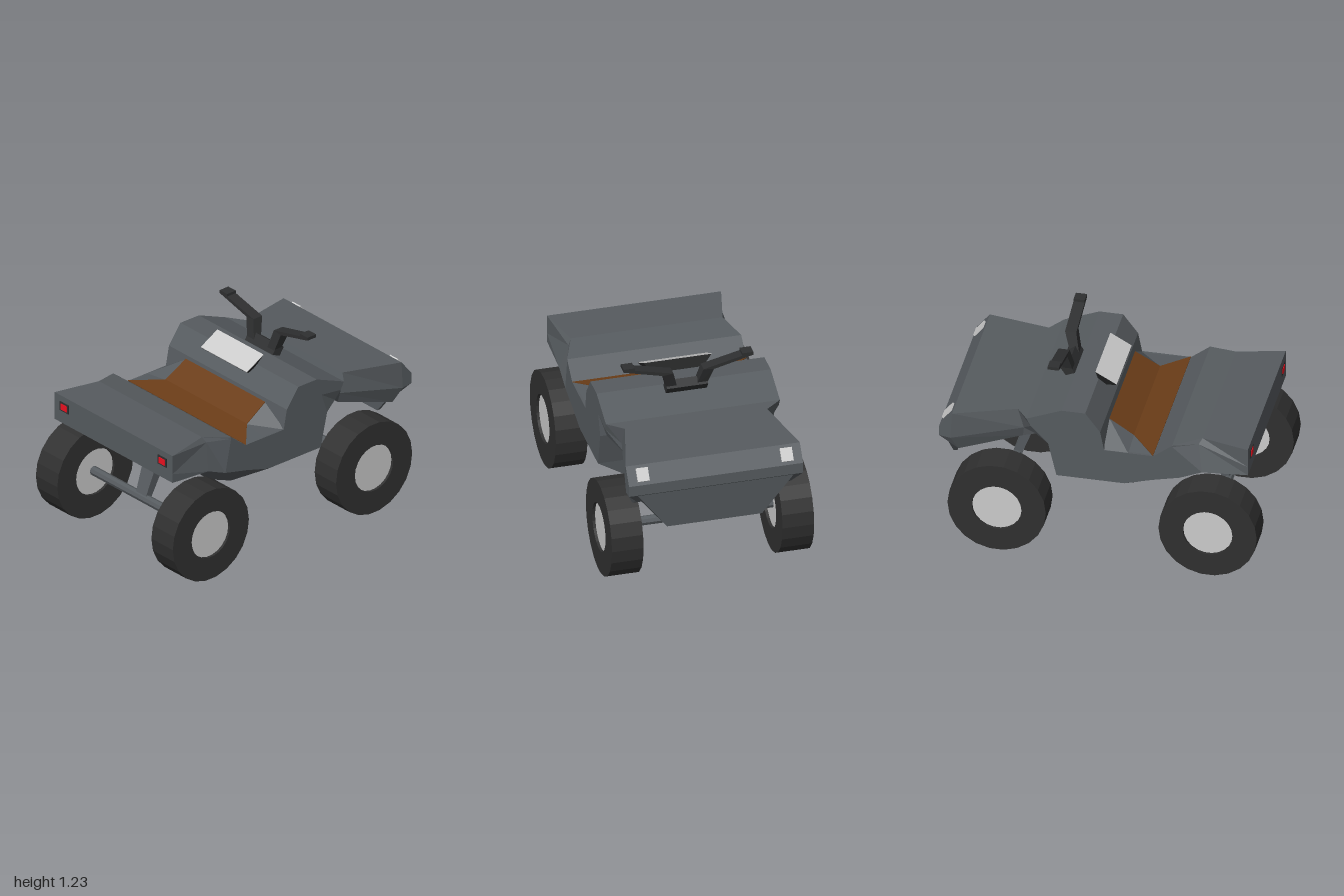
import * as THREE from 'three';

const mat = (color) => new THREE.MeshStandardMaterial({ color, flatShading: true });
const grey = mat(0x565b5f), dark = mat(0x2e2f30), rubber = mat(0x303030);
const brown = mat(0x6b3d18), pale = mat(0xcccccc), red = mat(0xee1020);

function add(parent, name, geometry, material, x = 0, y = 0, z = 0) {
  const mesh = new THREE.Mesh(geometry, material);
  mesh.name = name;
  mesh.position.set(x, y, z);
  parent.add(mesh);
  return mesh;
}

// Skins mirrored cross-sections, ordered from +z to -z.
// Each section lists [x, y, z] points of the +x half, from top to bottom.
function loft(sections) {
  const n = sections[0].length, pos = [];
  const quad = (a, b, c, d) => pos.push(...a, ...b, ...c, ...a, ...c, ...d);
  const flip = ([x, y, z]) => [-x, y, z];
  const rings = sections.map((s) => [...s, ...s.map(flip).reverse()]);
  for (let i = 0; i + 1 < rings.length; i++) {
    for (let j = 0; j < 2 * n; j++) {
      const k = (j + 1) % (2 * n);
      quad(rings[i][j], rings[i][k], rings[i + 1][k], rings[i + 1][j]);
    }
  }
  const first = sections[0], last = sections[sections.length - 1];
  for (let j = 0; j + 1 < n; j++) {
    quad(first[j], flip(first[j]), flip(first[j + 1]), first[j + 1]);
    quad(last[j], last[j + 1], flip(last[j + 1]), flip(last[j]));
  }
  const g = new THREE.BufferGeometry();
  g.setAttribute('position', new THREE.Float32BufferAttribute(pos, 3));
  g.computeVertexNormals();
  return g;
}

function addBody(group) {
  // Tub: rear deck, seat well, raised dash and keel
  add(group, 'body', loft([
    [[0.55, 0.895, 0.927], [0.55, 0.77, 0.927], [0.55, 0.71, 0.927], [0.5, 0.71, 0.927]],
    [[0.48, 0.895, 0.63], [0.5, 0.86, 0.61], [0.55, 0.69, 0.64], [0.5, 0.67, 0.63]],
    [[0.55, 0.86, 0.455], [0.55, 0.85, 0.455], [0.55, 0.63, 0.5], [0.36, 0.546, 0.514]],
    [[0.55, 0.766, 0.337], [0.55, 0.765, 0.337], [0.55, 0.59, 0.33], [0.2, 0.386, 0.33]],
    [[0.55, 0.766, 0.2], [0.55, 0.765, 0.25], [0.55, 0.54, 0.155], [0.2, 0.316, 0.155]],
    [[0.55, 0.766, 0.03], [0.55, 0.765, 0.03], [0.55, 0.54, 0.05], [0.2, 0.316, 0.05]],
    [[0.55, 0.895, 0.005], [0.55, 0.766, 0.01], [0.55, 0.54, 0], [0.2, 0.316, 0]],
    [[0.55, 1.02, -0.088], [0.55, 0.766, -0.1], [0.55, 0.54, -0.1], [0.2, 0.316, -0.1]],
    [[0.55, 1.02, -0.236], [0.55, 0.766, -0.32], [0.55, 0.54, -0.268], [0.2, 0.316, -0.246]],
  ]), grey);

  // Hood with waisted sides
  add(group, 'hood', loft([
    [[0.55, 1.02, -0.236], [0.55, 0.9, -0.275], [0.55, 0.766, -0.32]],
    [[0.55, 0.93, -0.455], [0.55, 0.88, -0.43], [0.53, 0.815, -0.4]],
    [[0.45, 0.925, -0.53], [0.46, 0.8, -0.49], [0.44, 0.728, -0.5]],
    [[0.55, 0.9, -0.92], [0.55, 0.72, -0.93], [0.5, 0.616, -0.89]],
    [[0.55, 0.8, -1], [0.55, 0.73, -1], [0.48, 0.63, -0.9]],
  ]), grey);
  add(group, 'nosePlate', loft([
    [[0.54, 0.75, -0.93], [0.3, 0.46, -0.94]],
    [[0.55, 0.8, -1], [0.3, 0.46, -0.965]],
  ]), grey);

  // Seat and the sloping panels beside it
  add(group, 'seatSurround', loft([
    [[0.55, 0.766, 0.335], [0.55, 0.764, 0.335]],
    [[0.38, 0.787, 0.18], [0.55, 0.764, 0.18]],
    [[0.37, 0.88, 0.025], [0.55, 0.764, 0.025]],
  ]), grey);
  add(group, 'seat', loft([
    [[0.55, 0.77, 0.335], [0.55, 0.765, 0.335]],
    [[0.38, 0.791, 0.18], [0.38, 0.785, 0.18]],
    [[0.37, 0.884, 0.025], [0.37, 0.87, 0.025]],
  ]), brown);
}

function addControls(group) {
  // Instrument wedge with a pale top
  add(group, 'instrumentHousing', loft([
    [[0.215, 1.028, 0.037], [0.215, 1.026, 0.037]],
    [[0.215, 1.06, -0.02], [0.13, 0.96, -0.048]],
    [[0.215, 1.103, -0.096], [0.13, 0.97, -0.09]],
  ]), dark);
  add(group, 'instrumentPanel', loft([
    [[0.215, 1.032, 0.037], [0.215, 1.028, 0.037]],
    [[0.215, 1.107, -0.096], [0.215, 1.102, -0.096]],
  ]), pale);

  // Handlebars on a tilted base
  add(group, 'handlebarBase', new THREE.BoxGeometry(0.26, 0.12, 0.06), dark, 0, 1.01, -0.275)
    .rotation.x = -0.6;
  const outline = [[0.06, 1.03], [0.095, 1.16], [0.34, 1.218], [0.34, 1.235],
    [0.41, 1.235], [0.41, 1.215], [0.16, 1.152], [0.125, 1.03]];
  for (const s of [-1, 1]) {
    const shape = new THREE.Shape(outline.map(([x, y]) => new THREE.Vector2(s * x, y)));
    const bar = new THREE.ExtrudeGeometry(shape, { depth: 0.07, bevelEnabled: false });
    // Rake the stems back toward the base
    const p = bar.attributes.position;
    for (let i = 0; i < p.count; i++) {
      if (p.getY(i) < 1.1) p.setZ(i, p.getZ(i) * 0.8 + 0.04);
    }
    add(group, 'handlebar', bar, dark, 0, 0, -0.353);
  }
}

function addLights(group) {
  for (const s of [-1, 1]) {
    add(group, 'headlight', new THREE.BoxGeometry(0.075, 0.02, 0.085), pale, s * 0.455, 0.852, -0.962)
      .rotation.x = -0.9;
    add(group, 'tailLightFrame', new THREE.BoxGeometry(0.08, 0.06, 0.012), dark, s * 0.457, 0.825, 0.927);
    add(group, 'tailLight', new THREE.BoxGeometry(0.055, 0.04, 0.016), red, s * 0.457, 0.825, 0.929);
  }
}

function addRunningGear(group) {
  // Tyre profile, open in the middle with the hub set inside
  const profile = [[0.155, -0.1], [0.307, -0.1], [0.307, 0.1], [0.155, 0.1], [0.155, -0.1]]
    .map(([r, y]) => new THREE.Vector2(r, y));
  const tyre = new THREE.LatheGeometry(profile, 22).rotateZ(Math.PI / 2);
  const hub = new THREE.CylinderGeometry(0.157, 0.157, 0.165, 22).rotateZ(Math.PI / 2);
  const axle = new THREE.CylinderGeometry(0.03, 0.03, 0.94, 8).rotateZ(Math.PI / 2);
  for (const z of [0.695, -0.622]) {
    add(group, 'axle', axle, grey, 0, 0.31, z);
    for (const s of [-1, 1]) {
      const wheel = new THREE.Group();
      wheel.name = 'wheel';
      wheel.position.set(s * 0.539, 0.307, z);
      add(wheel, 'tyre', tyre, rubber);
      add(wheel, 'hub', hub, pale);
      group.add(wheel);
    }
  }
  // Tapered struts from the body down to each axle
  add(group, 'rearStrut', loft([
    [[0.063, 0.6, 0.61], [0.045, 0.31, 0.715]],
    [[0.063, 0.6, 0.53], [0.045, 0.31, 0.665]],
  ]), grey);
  add(group, 'frontStrut', loft([
    [[0.063, 0.84, -0.395], [0.045, 0.31, -0.595]],
    [[0.063, 0.84, -0.46], [0.045, 0.31, -0.65]],
  ]), grey);
}

export function createModel() {
  const group = new THREE.Group();
  group.name = 'quadBike';
  addBody(group);
  addControls(group);
  addLights(group);
  addRunningGear(group);
  return group;
}
